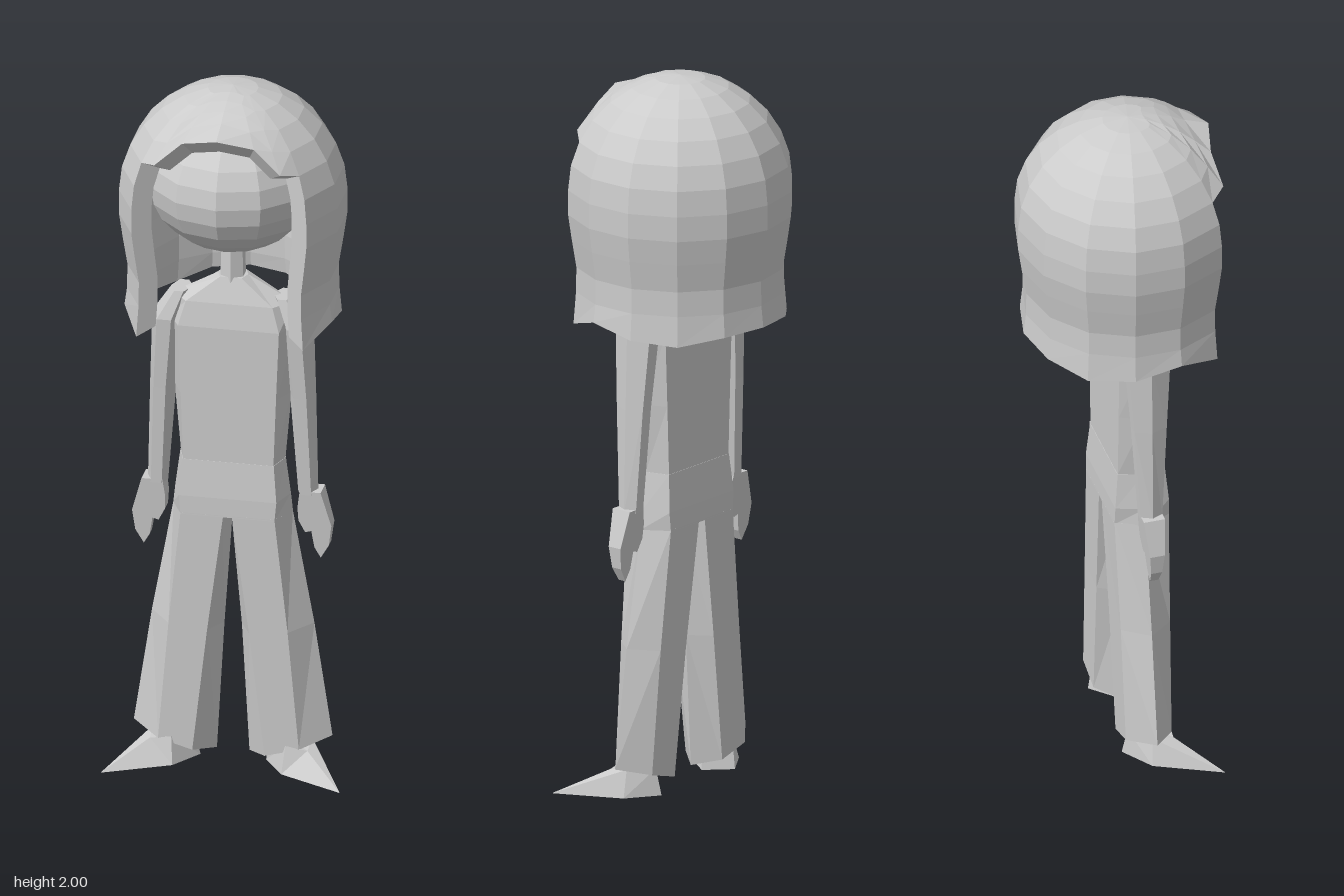
import * as THREE from 'three';

const material = new THREE.MeshStandardMaterial({ color: 0xcccccc, flatShading: true });
const V = (x, y, z) => new THREE.Vector3(x, y, z);
const ZC = 0.04; // depth of the body's centre line

// Closed solid from a list of triangles; turned inside out if its volume is negative
function solid(name, tris) {
  const volume = tris.reduce((sum, [a, b, c]) => sum + a.dot(b.clone().cross(c)), 0);
  const points = tris.flatMap(([a, b, c]) => (volume < 0 ? [a, c, b] : [a, b, c]));
  const geometry = new THREE.BufferGeometry().setFromPoints(points);
  geometry.computeVertexNormals();
  const mesh = new THREE.Mesh(geometry, material);
  mesh.name = name;
  return mesh;
}

const quad = (tris, a, b, c, d) => tris.push([a, b, c], [a, c, d]);

// Skin a stack of equal-sized rings and cap both ends
function loft(name, rings) {
  const tris = [];
  const n = rings[0].length;
  const centre = (ring) => ring.reduce((s, p) => s.add(p), V(0, 0, 0)).divideScalar(n);
  const first = rings[0], last = rings[rings.length - 1];
  const c0 = centre(first), c1 = centre(last);
  for (let i = 0; i < n; i++) {
    const j = (i + 1) % n;
    for (let k = 0; k + 1 < rings.length; k++) {
      quad(tris, rings[k][i], rings[k][j], rings[k + 1][j], rings[k + 1][i]);
    }
    tris.push([c0, first[j], first[i]], [c1, last[i], last[j]]);
  }
  return solid(name, tris);
}

// Six-sided section: x of the four corners from inner to outer, front/back half depth,
// and a slope that lifts the outer side
function hex(y, [x0, x1, x2, x3], depth, side = 1, tilt = 0) {
  const p = (x, z) => V(side * x, y + tilt * (x - x0), ZC + z);
  return [p(x0, 0), p(x1, depth), p(x2, depth), p(x3, 0), p(x2, -depth), p(x1, -depth)];
}

const bodyRing = (y, w, s, depth) => hex(y, [-s, -w, w, s], depth);

// Thick shell of hair: 11 long columns round the back, 5 short ones forming the fringe
function makeHair() {
  const R = 0.31, CY = 1.69, STEP = Math.PI / 7;
  const bottoms = [1.34, 1.335, 1.315, 1.325, 1.35, 1.31];
  const drop = [[1.76, 0.302], [1.69, 0.31], [1.62, 0.31], [1.55, 0.3], [1.47, 0.287], [1.4, 0.288]];

  const makeColumn = (angle, profile) => {
    const at = (y, r) => V(r * Math.sin(angle), y, ZC - r * Math.cos(angle));
    return {
      outer: profile.map(([y, r]) => at(y, r)),
      inner: profile.map(([y, r], k) =>
        at(y > CY ? CY + (y - CY) * 0.8 : y + (k === profile.length - 1 ? 0.02 : 0), r * 0.8)),
    };
  };
  const cap = (end, flare = 1) => Array.from({ length: 6 }, (_, k) => {
    const t = (end * k) / 5;
    return [CY + R * Math.cos(t), R * Math.sin(t) * (k === 5 ? flare : 1)];
  });

  const columns = [];
  for (let j = -5; j <= 5; j++) {
    columns.push(makeColumn(j * STEP, [...cap(5 * Math.PI / 14), ...drop, [bottoms[Math.abs(j)], 0.295]]));
  }
  const fringe = [[5.5, 1.065, 1.03], [6, 0.8, 1.03], [7, 0.686, 1.17], [8, 0.8, 1.03], [8.5, 1.065, 1.03]];
  for (const [j, end, flare] of fringe) columns.push(makeColumn(j * STEP, cap(end, flare)));

  // Each strip runs down the outside, round the rim and back up the inside
  const tris = [];
  columns.forEach((a, i) => {
    const b = columns[(i + 1) % columns.length];
    const rows = Math.min(a.outer.length, b.outer.length);
    const path = (c) => [...c.outer.slice(0, rows), ...c.inner.slice(0, rows).reverse()];
    const pa = path(a), pb = path(b);
    for (let k = 0; k + 1 < pa.length; k++) quad(tris, pa[k], pb[k], pb[k + 1], pa[k + 1]);
  });
  // Front edges of the two side locks
  for (const [index, flip] of [[0, false], [10, true]]) {
    const { outer, inner } = columns[index];
    for (let k = 5; k + 1 < outer.length; k++) {
      const q = [outer[k], outer[k + 1], inner[k + 1], inner[k]];
      quad(tris, ...(flip ? q.reverse() : q));
    }
  }
  return solid('hair', tris);
}

function makeLeg(s) {
  return loft('leg', [
    hex(0.025, [0.045, 0.1, 0.195, 0.275], 0.065, s, 0.28),
    hex(0.4, [0.024, 0.058, 0.165, 0.225], 0.07, s, 0.1),
    hex(0.75, [0, 0.012, 0.13, 0.165], 0.077, s),
  ]);
}

// Pointed foot turned 45 degrees outwards; points are [along, across]
function makeFoot(s) {
  const ring = (y, points, toeY) => points.map(([d, n], i) =>
    V(s * (0.165 + 0.707 * (d + n)), i === 2 ? toeY : y, 0.05 + 0.707 * (d - n)));
  return loft('foot', [
    ring(0, [[-0.06, -0.045], [0.045, -0.065], [0.235, 0], [0.045, 0.065], [-0.06, 0.045]], 0),
    ring(0.075, [[-0.045, -0.04], [0.035, -0.045], [0.075, 0], [0.035, 0.045], [-0.045, 0.04]], 0.065),
  ]);
}

function makeArm(s) {
  return loft('arm', [
    hex(0.81, [0.18, 0.192, 0.222, 0.236], 0.03, s),
    hex(1.1, [0.157, 0.178, 0.212, 0.23], 0.046, s),
    hex(1.31, [0.14, 0.16, 0.2, 0.224], 0.06, s),
    hex(1.39, [0.11, 0.13, 0.155, 0.17], 0.04, s),
  ]);
}

// Mitten hand, thinning towards the fingertips
function makeHand(s) {
  const outline = [[0.19, 0.82], [0.248, 0.82], [0.276, 0.72], [0.268, 0.66], [0.245, 0.62],
    [0.228, 0.65], [0.22, 0.7], [0.203, 0.695], [0.185, 0.73], [0.183, 0.77]];
  const face = (dir) => outline.map(([x, y]) =>
    V(s * x, y, ZC + dir * (0.012 + 0.018 * (y - 0.62) / 0.2)));
  return loft('hand', [face(-1), face(1)]);
}

export function createModel() {
  const model = new THREE.Group();
  model.name = 'figure';

  // Head and neck
  const head = new THREE.Mesh(new THREE.SphereGeometry(1, 12, 12), material);
  head.name = 'head';
  head.scale.set(0.235, 0.2, 0.235);
  head.position.set(0, 1.727, ZC);
  const neck = new THREE.Mesh(new THREE.CylinderGeometry(0.032, 0.038, 0.17, 6), material);
  neck.name = 'neck';
  neck.position.set(0, 1.485, ZC);
  model.add(makeHair(), head, neck);

  // Torso and hips
  model.add(loft('torso', [
    bodyRing(0.905, 0.125, 0.145, 0.066),
    bodyRing(1.1, 0.132, 0.162, 0.066),
    bodyRing(1.3, 0.14, 0.175, 0.066),
    bodyRing(1.37, 0.12, 0.168, 0.055),
    bodyRing(1.44, 0.03, 0.042, 0.032),
  ]));
  model.add(loft('hips', [
    bodyRing(0.745, 0.13, 0.166, 0.077),
    bodyRing(0.8, 0.135, 0.16, 0.076),
    bodyRing(0.905, 0.126, 0.146, 0.067),
  ]));

  // Limbs, left and right
  for (const [s, name] of [[1, 'left'], [-1, 'right']]) {
    const limbs = new THREE.Group();
    limbs.name = name + 'Limbs';
    limbs.add(makeLeg(s), makeFoot(s), makeArm(s), makeHand(s));
    model.add(limbs);
  }
  return model;
}
